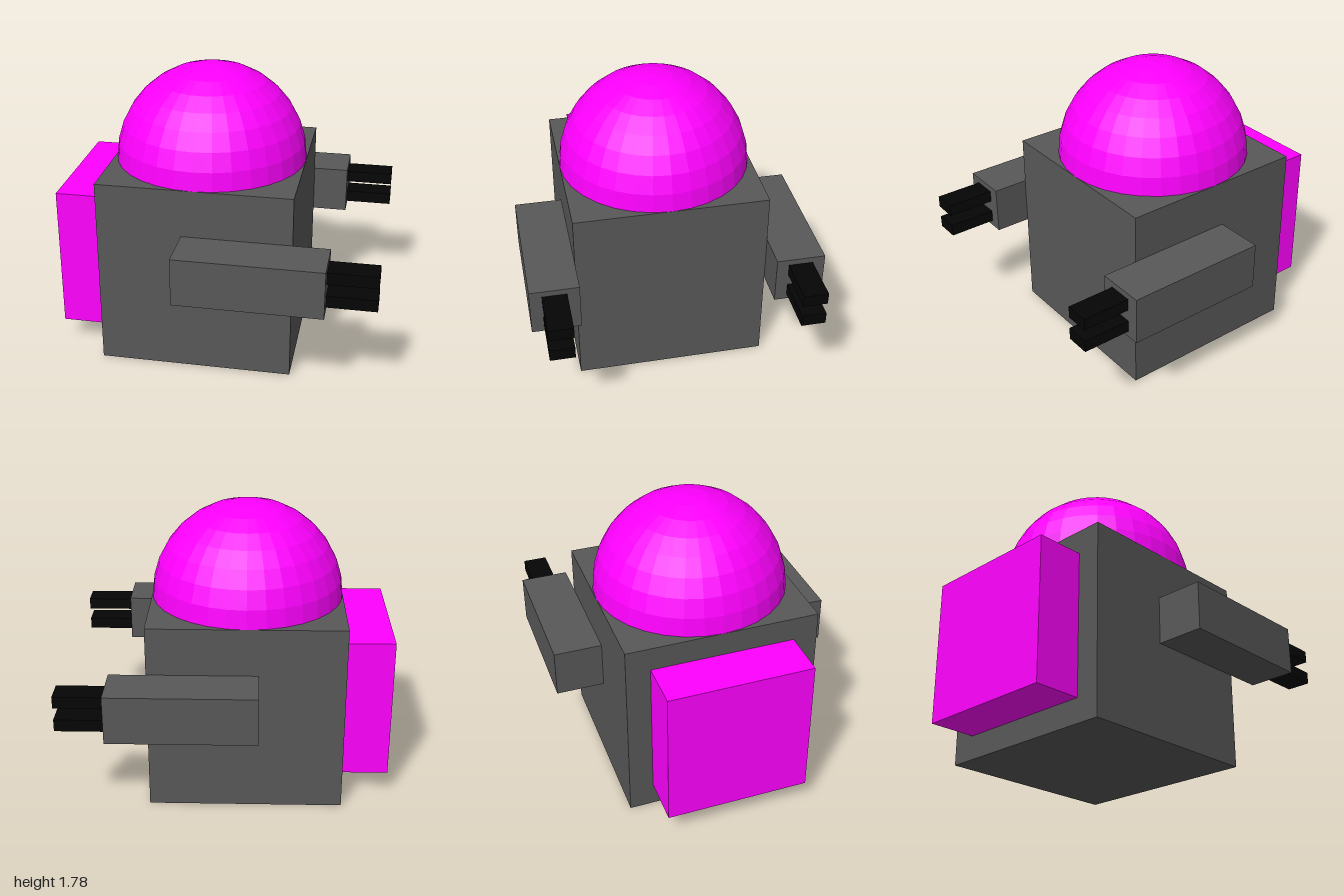
import * as THREE from 'three';

const U = 8 / 27; // one block unit; the whole model is 6.75 units long

export function createModel() {
  const model = new THREE.Group();
  model.name = 'blockRobot';

  const mat = (color) => new THREE.MeshStandardMaterial({ color, flatShading: true });
  const grey = mat(0x585858);
  const magenta = mat(0xff00ff);
  const black = mat(0x050505);

  // Sizes and centres are given in block units
  const add = (parent, name, geometry, material, x, y, z) => {
    const mesh = new THREE.Mesh(geometry, material);
    mesh.name = name;
    mesh.position.set(x * U, y * U, z * U);
    parent.add(mesh);
  };
  const box = (w, h, d) => new THREE.BoxGeometry(w * U, h * U, d * U);

  // Body cube with a faceted dome head
  const bodyX = -0.375;
  add(model, 'body', box(4, 4, 4), grey, bodyX, 2, 0);
  const dome = new THREE.SphereGeometry(2 * U, 32, 8, 0, Math.PI * 2, 0, Math.PI / 2);
  add(model, 'domeHead', dome, magenta, bodyX, 4, 0);

  // Backpack on the -x side
  add(model, 'backpack', box(1, 3, 3), magenta, bodyX - 2.5, 2, 0);

  // Mirrored arms, each with two flat prongs pointing to +x
  for (const side of [1, -1]) {
    const arm = new THREE.Group();
    arm.name = side > 0 ? 'frontArm' : 'backArm';
    arm.position.set(0, 2.5 * U, side * 2.5 * U);
    add(arm, 'forearm', box(3, 1, 1), grey, 0.875, 0, 0);
    for (const v of [1, -1]) {
      add(arm, v > 0 ? 'upperProng' : 'lowerProng', box(1, 0.25, 0.5), black, 2.875, v * 0.25, 0);
    }
    model.add(arm);
  }

  return model;
}
